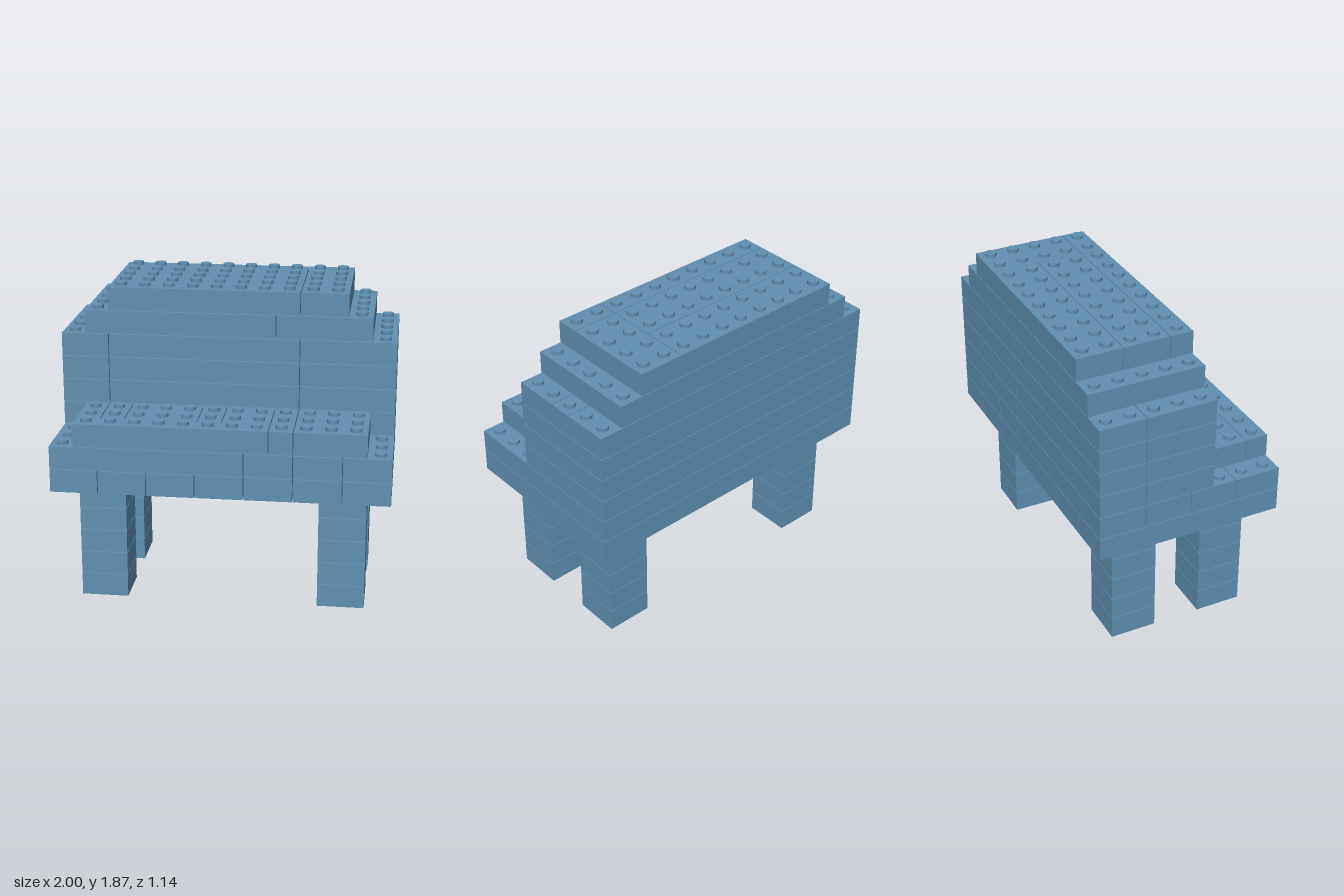
import * as THREE from 'three';

const U = 1 / 7;        // one stud pitch, also one brick height
const GAP = 0.005;      // seam between neighbouring bricks
const STUD_H = 0.022;

export function createModel() {
  const model = new THREE.Group();
  model.name = 'brickBench';
  const blue = new THREE.MeshStandardMaterial({ color: 0x6090b0 });
  blue.name = 'steelBlue';
  const studGeo = new THREE.CylinderGeometry(0.034, 0.034, STUD_H, 16);

  const section = (name) => {
    const g = new THREE.Group();
    g.name = name;
    model.add(g);
    return g;
  };

  // Brick spanning x0..x1, z0..z1 in stud units on the given layer
  const brick = (parent, layer, x0, x1, z0, z1) => {
    const m = new THREE.Mesh(
      new THREE.BoxGeometry((x1 - x0) * U - GAP, U - GAP, (z1 - z0) * U - GAP), blue);
    m.name = 'brick';
    m.position.set((x0 + x1) / 2 * U, (layer + 0.5) * U, (z0 + z1) / 2 * U);
    parent.add(m);
  };

  // Studs over a rectangular exposed area on top of a layer
  const studs = (parent, layer, x0, x1, z0, z1) => {
    for (let x = x0; x < x1; x++) for (let z = z0; z < z1; z++) {
      const s = new THREE.Mesh(studGeo, blue);
      s.name = 'stud';
      s.position.set((x + 0.5) * U, (layer + 1) * U - GAP / 2 + STUD_H / 2, (z + 0.5) * U);
      parent.add(s);
    }
  };

  // Four legs of five stacked bricks
  for (const x of [-6, 4]) for (const z of [-3, 1]) {
    const leg = section((z > 0 ? 'front' : 'back') + (x > 0 ? 'Left' : 'Right') + 'Leg');
    for (let l = 0; l < 5; l++) brick(leg, l, x, x + 2, z, z + 2);
  }

  // Seat base: crosswise planks, then a second course
  const base = section('seatBase');
  for (let x = -7; x < 7; x += 2) brick(base, 5, x, x + 2, -4, 4);
  for (let z = -4; z < 4; z += 2) brick(base, 6, -7, 1, z, z + 2);
  for (const x of [1, 3, 5]) brick(base, 6, x, x + 2, -4, 4);
  for (const x of [-7, 6]) studs(base, 6, x, x + 1, 1, 4);

  // Raised seat cushion
  const cushion = section('seatCushion');
  [[-6, 2, 3, 4], [-6, -5, 1, 3], [-5, -4, 1, 3], [-4, -1, 1, 3], [-1, 0, 1, 3],
    [0, 2, 1, 3], [2, 3, 1, 4], [3, 6, 3, 4], [3, 6, 1, 3]]
    .forEach((b) => brick(cushion, 7, ...b));
  studs(cushion, 7, -6, 6, 1, 4);

  // Backrest: four equal courses
  const back = section('backrest');
  for (let l = 7; l < 11; l++) {
    [[-7, 1, -4, -2], [1, 7, -4, -2], [-7, -5, -2, 1], [-5, 3, -2, 1],
      [3, 7, -2, -1], [3, 7, -1, 1]].forEach((b) => brick(back, l, ...b));
  }
  for (const x of [-7, 6]) studs(back, 10, x, x + 1, -4, 1);

  // Stepped crown of the backrest
  const crown = section('backrestCrown');
  brick(crown, 11, -6, 2, -4, 1);
  brick(crown, 11, 2, 6, -4, 1);
  for (const x of [-6, 5]) studs(crown, 11, x, x + 1, -4, 1);
  [[-5, 3, -4, -2], [-5, 3, -2, 0], [-5, 3, 0, 1], [3, 5, -4, 0], [3, 5, 0, 1]]
    .forEach((b) => brick(crown, 12, ...b));
  studs(crown, 12, -5, 5, -4, 1);

  return model;
}
